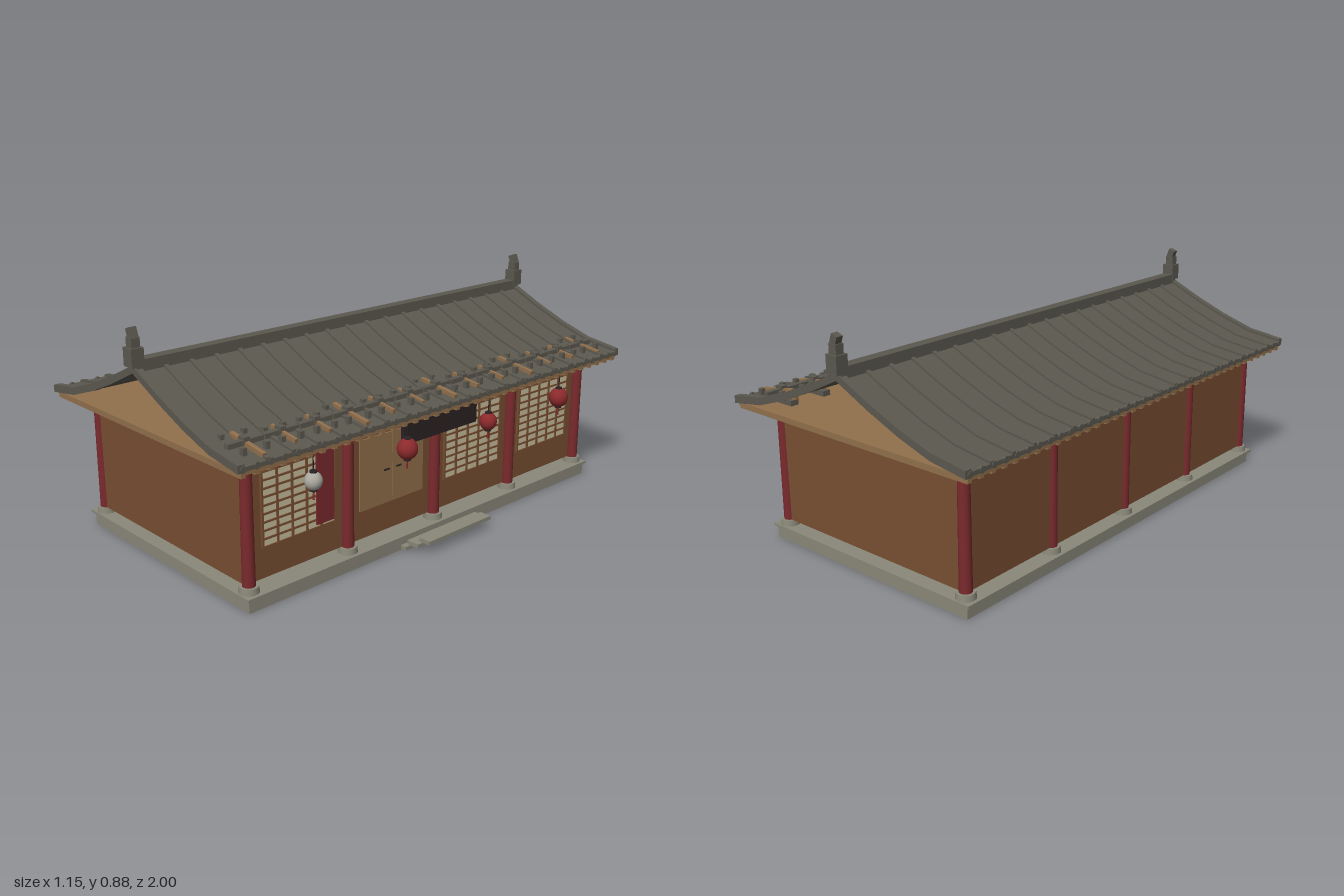
import * as THREE from 'three';

const mat = (name, color) => {
  const m = new THREE.MeshStandardMaterial({ color });
  m.name = name;
  return m;
};

export function createModel() {
  const root = new THREE.Group();
  root.name = 'courtyardHall';
  const roofGrey = mat('roof tile grey', 0x5b584f);
  const stone = mat('stone', 0x8a8879);
  const wallBrown = mat('wall brown', 0x784e31);
  const timber = mat('light timber', 0x92704c);
  const red = mat('column red', 0x7a2a2d);
  const paper = mat('window paper', 0xc8bf9f);
  const dark = mat('dark wood', 0x2b2224);
  const lanternRed = mat('lantern red', 0x8c2a2c);
  const lanternPale = mat('lantern pale', 0xaaa89e);

  const group = (name) => {
    const g = new THREE.Group();
    g.name = name;
    root.add(g);
    return g;
  };
  const add = (name, geo, m, x = 0, y = 0, z = 0, parent = root) => {
    const mesh = new THREE.Mesh(geo, m);
    mesh.name = name;
    mesh.position.set(x, y, z);
    parent.add(mesh);
    return mesh;
  };
  // box given by its limits on each axis
  const box = (name, m, x0, x1, y0, y1, z0, z1, parent = root) =>
    add(name, new THREE.BoxGeometry(x1 - x0, y1 - y0, z1 - z0), m,
      (x0 + x1) / 2, (y0 + y1) / 2, (z0 + z1) / 2, parent);

  // stone platform and steps on the entrance side
  box('platform', stone, -0.49, 0.47, 0, 0.047, -0.9, 0.9);
  box('platformLip', stone, -0.505, 0.48, 0.046, 0.056, -0.91, 0.91);
  const steps = group('steps');
  [[0.465, 0.495, 0.005, 0.019, 0.206], [0.482, 0.535, 0.02, 0.036, 0.186], [0.525, 0.575, 0.04, 0.055, 0.168]]
    .forEach(([a, b, c, d, w]) => box('step', stone, a, b, c, d, -w, w, steps));

  // columns with stone feet and square capitals
  const colX = [-0.457, 0.432];
  const colZ = [-0.87, -0.435, 0, 0.435, 0.87];
  const columns = group('columns');
  for (const x of colX) for (const z of colZ) {
    add('columnFoot', new THREE.CylinderGeometry(0.033, 0.036, 0.022, 16), stone, x, 0.067, z, columns);
    add('column', new THREE.CylinderGeometry(0.021, 0.023, 0.4, 16), red, x, 0.277, z, columns);
    box('capital', roofGrey, x - 0.028, x + 0.028, 0.475, 0.5, z - 0.028, z + 0.028, columns);
  }

  // walls
  box('backWall', wallBrown, -0.467, -0.447, 0.078, 0.456, -0.87, 0.87);
  box('frontGableWall', wallBrown, -0.457, 0.425, 0.078, 0.456, 0.86, 0.88);
  box('rearGableWall', wallBrown, -0.457, 0.425, 0.078, 0.456, -0.88, -0.86);
  box('entranceWall', wallBrown, 0.405, 0.425, 0.078, 0.456, -0.87, 0.87);

  // paper windows with wooden lattice
  for (const zc of [0.65, -0.2175, -0.65]) {
    const win = group('window');
    const h = 0.157, y0 = 0.19, y1 = 0.454;
    box('windowPaper', paper, 0.424, 0.429, y0, y1, zc - h, zc + h, win);
    for (let i = 0; i <= 5; i++) {
      const z = zc - h + (2 * h * i) / 5;
      box('latticePost', wallBrown, 0.425, 0.434, y0, y1, z - 0.004, z + 0.004, win);
    }
    for (let i = 0; i <= 9; i++) {
      const y = y0 + ((y1 - y0) * i) / 9;
      box('latticeRail', wallBrown, 0.425, 0.433, y - 0.0035, y + 0.0035, zc - h, zc + h, win);
    }
  }

  // double door
  const door = group('door');
  for (const s of [-1, 1]) {
    const zc = 0.217 + s * 0.0795;
    box('doorLeaf', timber, 0.424, 0.431, 0.186, 0.452, zc - 0.0785, zc + 0.0785, door);
    box('doorHandle', dark, 0.43, 0.436, 0.312, 0.317, 0.217 + s * 0.03 - 0.012, 0.217 + s * 0.03 + 0.012, door);
  }

  // signboard and hanging banner
  box('signboard', dark, 0.448, 0.466, 0.4, 0.495, -0.193, 0.193);
  box('banner', red, 0.452, 0.458, 0.215, 0.5, 0.52, 0.597);

  // flat eave boards with rafters below
  box('eaveBoards', timber, -0.57, 0.545, 0.517, 0.53, -0.97, 0.97);
  const rafters = group('rafters');
  for (let i = 0; i <= 36; i++) {
    const z = -0.96 + (1.92 * i) / 36;
    box('rafter', timber, -0.568, 0.543, 0.508, 0.518, z - 0.009, z + 0.009, rafters);
  }

  // curved roof: a strip of the slope profile swept along z
  const cx = -0.0125;
  const slope = [[0.5625, 0.553], [0.415, 0.575], [0.28, 0.62], [0.145, 0.676], [0, 0.745]];
  const top = [...slope.map(([x, y]) => [cx - x, y]), ...slope.slice(0, -1).reverse().map(([x, y]) => [cx + x, y])];
  const strip = (up, down, depth) => {
    const pts = [...top.map(([x, y]) => new THREE.Vector2(x, y + up)),
      ...top.slice().reverse().map(([x, y]) => new THREE.Vector2(x, y - down))];
    const g = new THREE.ExtrudeGeometry(new THREE.Shape(pts), { depth, bevelEnabled: false });
    return g.translate(0, 0, -depth / 2);
  };
  const roof = group('roof');
  add('roofDeck', strip(-0.007, 0.022, 1.95), roofGrey, 0, 0, 0, roof);
  const rib = strip(0.001, 0.012, 0.016);
  for (let i = 1; i < 19; i++) add('tileRib', rib, roofGrey, 0, 0, -0.97 + (1.94 * i) / 19, roof);
  const barge = strip(0.004, 0.024, 0.026);
  for (const s of [-1, 1]) add('gableEdge', barge, roofGrey, 0, 0, s * 0.972, roof);

  // round tile ends along both eaves
  const tileEnd = new THREE.CylinderGeometry(0.012, 0.012, 0.012, 10).rotateZ(Math.PI / 2);
  for (const x of [-0.572, 0.547])
    for (let i = 0; i <= 36; i++) add('tileEnd', tileEnd, roofGrey, x, 0.54, -0.965 + (1.93 * i) / 36, roof);

  // ridge and end finials
  box('ridge', roofGrey, -0.035, 0.01, 0.728, 0.768, -0.98, 0.98, roof);
  for (const s of [-1, 1]) {
    const z = s * 0.976;
    box('finialBase', roofGrey, -0.038, 0.013, 0.745, 0.81, z - 0.024, z + 0.024, roof);
    box('finialNeck', roofGrey, -0.03, 0.005, 0.81, 0.845, z - 0.016, z + 0.016, roof);
    const tip = box('finialTip', roofGrey, -0.028, 0.0, 0.836, 0.876, z - 0.013, z + 0.013, roof);
    tip.rotation.z = 0.35;
  }

  // bracket sets along the entrance eave
  const brackets = group('eaveBrackets');
  for (let i = -6; i <= 6; i++) {
    const z = i * 0.1448;
    const main = i % 3 === 0;
    const len = main ? 0.17 : 0.125;
    const arm = add('bracketArm', new THREE.BoxGeometry(len, 0.02, main ? 0.016 : 0.012), timber, 0.447, 0.567, z, brackets);
    arm.rotation.z = -0.16;
    box('bracketTail', timber, main ? 0.345 : 0.37, 0.45, 0.554, 0.566, z - 0.007, z + 0.007, brackets);
    box('bracketBlock', roofGrey, 0.36, 0.5, 0.53, 0.55, z - 0.016, z + 0.016, brackets);
    box('bracketCap', roofGrey, 0.415, 0.445, 0.57, 0.592, z - 0.012, z + 0.012, brackets);
    for (const s of [-1, 1]) {
      const w = z + s * (main ? 0.045 : 0.038);
      const xi = main ? 0.37 : 0.395;
      box('bracketPad', roofGrey, xi - 0.009, xi + 0.009, 0.57, main ? 0.593 : 0.587, w - 0.008, w + 0.008, brackets);
      box('bracketPad', roofGrey, 0.476, 0.494, 0.555, 0.58, w - 0.008, w + 0.008, brackets);
    }
    box('bracketBeam', roofGrey, 0.419, 0.441, 0.565, 0.582, z - 0.069, z + 0.069, brackets);
  }

  // hanging lanterns
  const lantern = (z, r, m) => {
    const g = group('lantern');
    g.position.set(0.505, 0.405, z);
    add('lanternCord', new THREE.CylinderGeometry(0.002, 0.002, 0.11, 6), dark, 0, 0.055, 0, g);
    add('lanternBody', new THREE.SphereGeometry(r, 20, 14), m, 0, 0, 0, g).scale.y = 1.05;
    for (const s of [-1, 1])
      add('lanternCap', new THREE.CylinderGeometry(0.013, 0.013, 0.008, 12), dark, 0, s * r * 1.02, 0, g);
    add('lanternTassel', new THREE.CylinderGeometry(0.002, 0.004, 0.035, 6), lanternRed, 0, -r - 0.018, 0, g);
  };
  lantern(0.652, 0.031, lanternPale);
  lantern(0.218, 0.038, lanternRed);
  lantern(-0.216, 0.033, lanternRed);
  lantern(-0.65, 0.038, lanternRed);

  return root;
}
